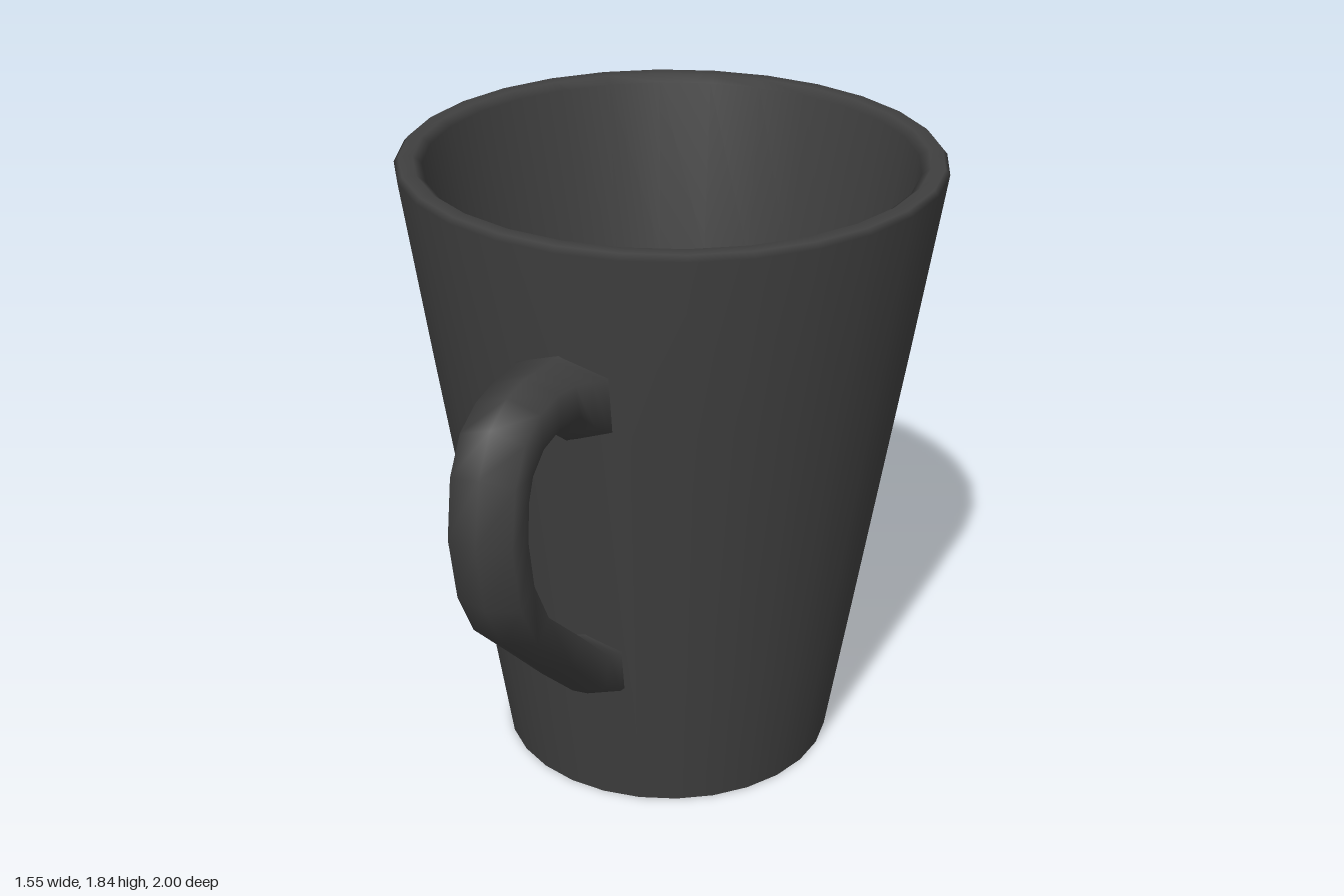
import * as THREE from 'three';

const SIDES = 28;
const CUP_Z = -0.225; // the cup sits back so that cup and handle are centred together

// Handle stations: outer edge [z, y], inner edge [z, y], half width
const STATIONS = [
  [0.46, 1.52, 0.42, 1.24, 0.135],
  [0.51, 1.52, 0.46, 1.255, 0.13],
  [0.55, 1.525, 0.52, 1.30, 0.115],
  [0.62, 1.53, 0.58, 1.37, 0.1],
  [0.70, 1.54, 0.69, 1.38, 0.092],
  [0.80, 1.53, 0.78, 1.365, 0.09],
  [0.90, 1.485, 0.835, 1.32, 0.09],
  [0.97, 1.38, 0.85, 1.27, 0.09],
  [1.0, 1.2, 0.855, 1.18, 0.09],
  [0.96, 1.0, 0.83, 1.05, 0.09],
  [0.87, 0.85, 0.76, 0.92, 0.093],
  [0.66, 0.655, 0.58, 0.765, 0.096],
  [0.45, 0.46, 0.41, 0.61, 0.1],
  [0.35, 0.39, 0.36, 0.595, 0.105],
  [0.29, 0.37, 0.32, 0.6, 0.105],
];

// Six-sided section: x as a share of half width, t from inner (0) to outer (1) edge
const SECTION = [[0, 1], [1, 0.82], [1, 0.2], [0, 0], [-1, 0.2], [-1, 0.82]];

function handleGeometry() {
  const positions = [], index = [], n = SECTION.length;
  STATIONS.forEach(([oz, oy, iz, iy, w], s) => {
    for (const [x, t] of SECTION) {
      positions.push(x * w - 0.012, iy + (oy - iy) * t, iz + (oz - iz) * t);
    }
    if (s === 0) return;
    for (let k = 0; k < n; k++) {
      const a = (s - 1) * n + k, b = (s - 1) * n + (k + 1) % n;
      index.push(a, a + n, b, b, a + n, b + n);
    }
  });
  const geometry = new THREE.BufferGeometry();
  geometry.setAttribute('position', new THREE.Float32BufferAttribute(positions, 3));
  geometry.setIndex(index);
  geometry.computeVertexNormals();
  return geometry;
}

export function createModel() {
  const model = new THREE.Group();
  model.name = 'mug';
  const material = new THREE.MeshStandardMaterial({ color: 0x404040, side: THREE.DoubleSide });

  const add = (name, geometry, y = 0, z = CUP_Z) => {
    const mesh = new THREE.Mesh(geometry, material);
    mesh.name = name;
    mesh.position.set(0, y, z);
    model.add(mesh);
    return mesh;
  };

  // Tapered wall: up the outside, over the rounded rim and down the inside
  const profile = [
    [0.495, 0], [0.56, 0.42], [0.695, 1.3], [0.773, 1.825], [0.76, 1.84],
    [0.72, 1.84], [0.695, 1.82], [0.625, 1.3], [0.47, 0.15],
  ].map(([r, y]) => new THREE.Vector2(r, y));
  add('cupWall', new THREE.LatheGeometry(profile, SIDES));

  // Inner floor and flat underside
  const disc = (radius, turn) => new THREE.CircleGeometry(radius, SIDES).rotateX(turn);
  add('cupFloor', disc(0.47, -Math.PI / 2), 0.15);
  add('cupBase', disc(0.495, Math.PI / 2));

  // Handle, flared where it meets the wall
  add('handle', handleGeometry(), 0, 0);

  return model;
}
